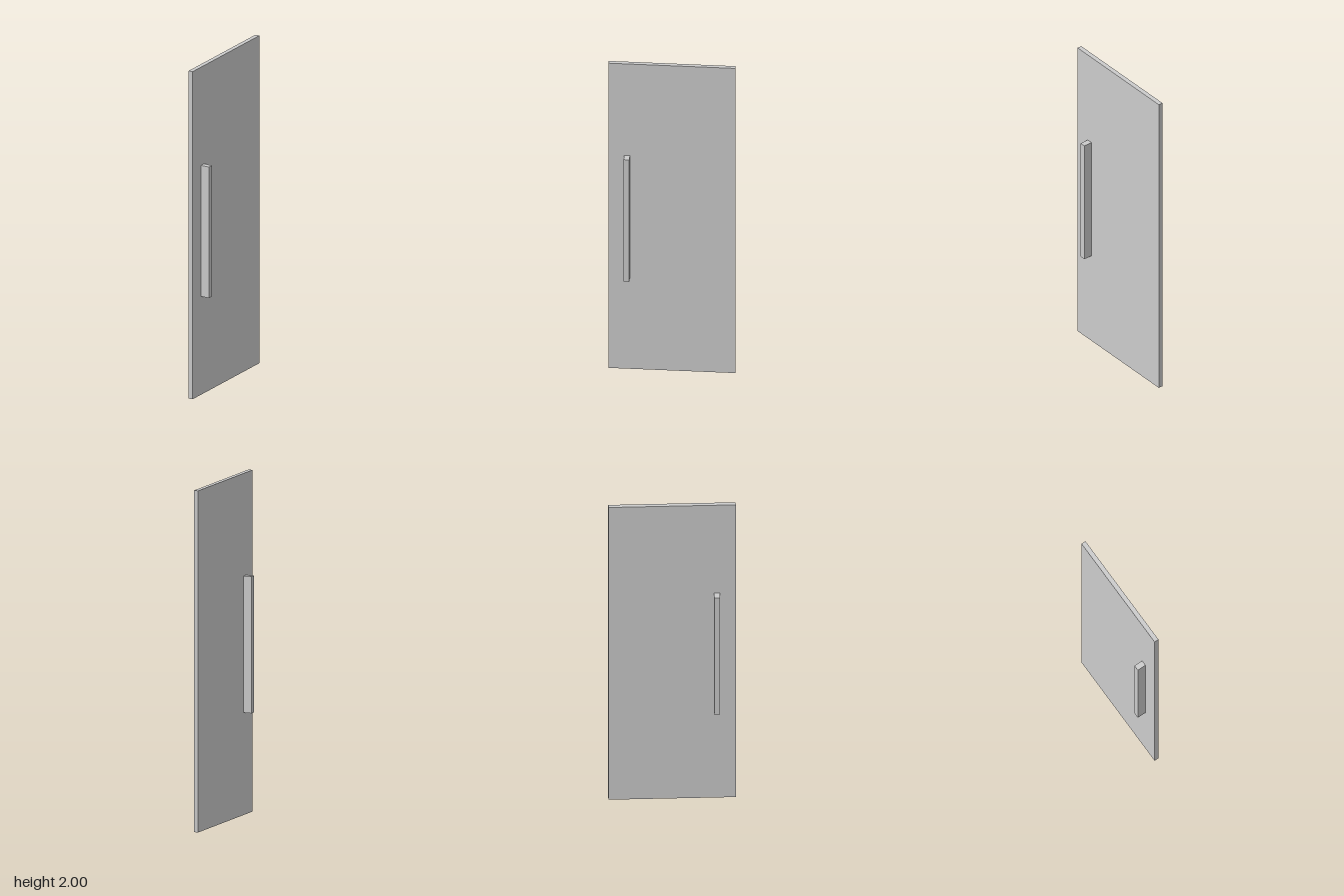
import * as THREE from 'three';

export function createModel() {
  const group = new THREE.Group();
  const material = new THREE.MeshStandardMaterial({ color: 0xcccccc });

  const addBox = (name, size, position) => {
    const mesh = new THREE.Mesh(new THREE.BoxGeometry(...size), material);
    mesh.name = name;
    mesh.position.set(...position);
    group.add(mesh);
  };

  // Thin upright door leaf
  const thickness = 0.027;
  addBox('doorPanel', [thickness, 2, 0.734], [0, 1, 0]);

  // One pull bar on each face, near the front edge
  const depth = 0.0535;
  for (const side of [1, -1]) {
    addBox(side > 0 ? 'leftHandle' : 'rightHandle', [depth, 0.8, 0.033],
      [side * (thickness + depth) / 2, 1, 0.258]);
  }

  return group;
}
